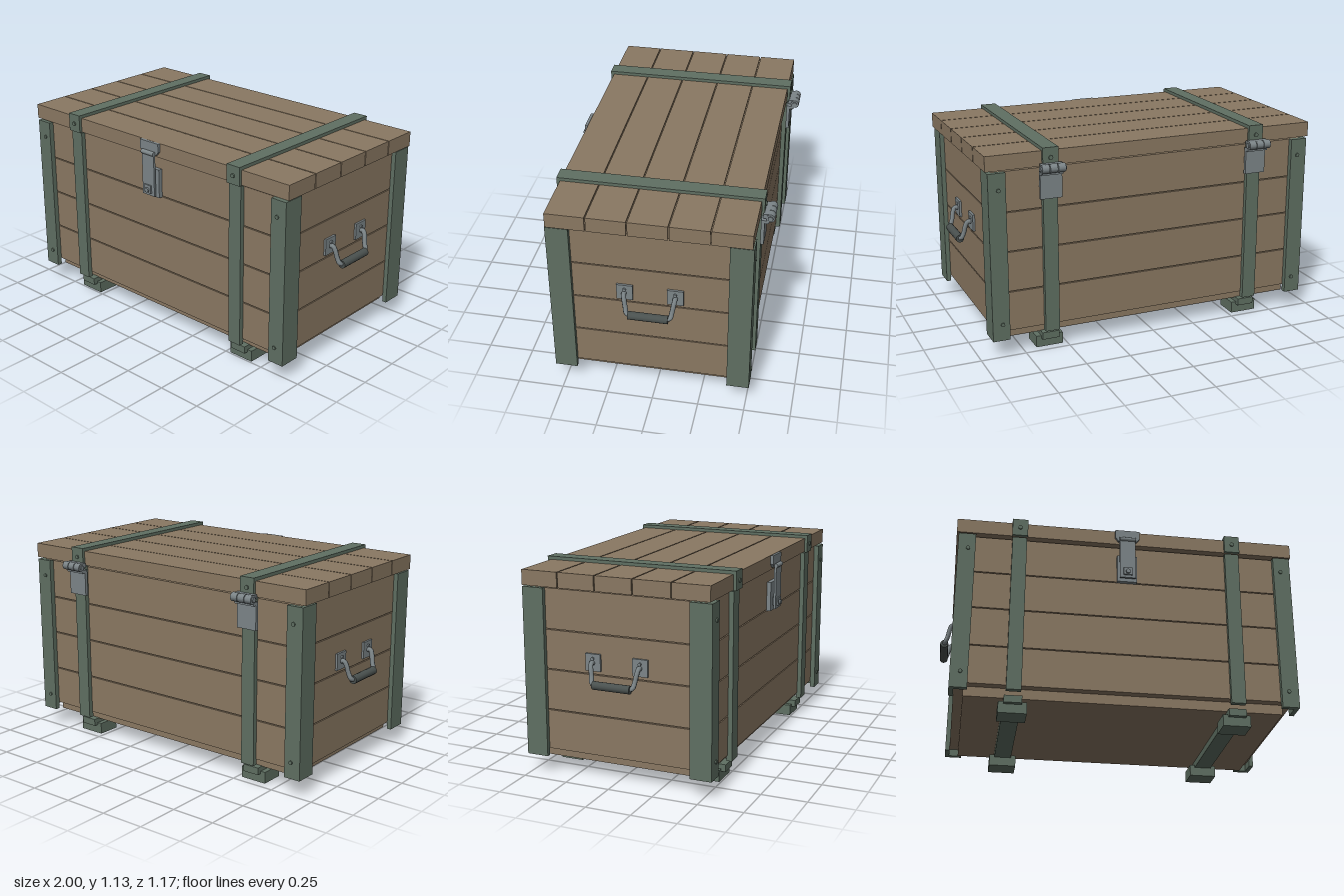
import * as THREE from 'three';

const mat = (name, color) => {
  const m = new THREE.MeshStandardMaterial({ color });
  m.name = name;
  return m;
};

export function createModel() {
  const wood = mat('brown wood', 0x8a7862);
  const green = mat('green painted steel', 0x5f6f62);
  const steel = mat('grey steel', 0x7c8588);
  const dark = mat('dark grip', 0x4a514f);

  const model = new THREE.Group();
  model.name = 'crate';
  // The crate body sits slightly forward because the hinges stick out behind
  const crate = new THREE.Group();
  crate.name = 'crateBody';
  crate.position.z = 0.018;
  model.add(crate);

  const add = (parent, name, geo, material, x = 0, y = 0, z = 0) => {
    const m = new THREE.Mesh(geo, material);
    m.name = name;
    m.position.set(x, y, z);
    parent.add(m);
    return m;
  };
  // Box given by its extents
  const box = (parent, name, material, x0, x1, y0, y1, z0, z1) =>
    add(parent, name, new THREE.BoxGeometry(x1 - x0, y1 - y0, z1 - z0), material,
      (x0 + x1) / 2, (y0 + y1) / 2, (z0 + z1) / 2);
  const rod = (parent, name, material, r, len, axis, x, y, z, sides = 12) => {
    const g = new THREE.CylinderGeometry(r, r, len, sides);
    if (axis === 'x') g.rotateZ(Math.PI / 2);
    if (axis === 'z') g.rotateX(Math.PI / 2);
    return add(parent, name, g, material, x, y, z);
  };

  // Core, base and stacked wall planks with thin gaps
  const WX = 0.91, WZ = 0.505, gap = 0.003;
  box(crate, 'core', wood, -WX + 0.008, WX - 0.008, 0.143, 1.01, -WZ + 0.008, WZ - 0.008);
  box(crate, 'base', wood, -0.86, 0.86, 0.087, 0.145, -0.458, 0.458);
  const rows = [0.139, 0.361, 0.584, 0.801, 1.023];
  for (let i = 0; i < 4; i++)
    box(crate, 'wallPlank', wood, -WX, WX, rows[i] + gap, rows[i + 1] - gap, -WZ, WZ);
  box(crate, 'lidLip', wood, -0.86, 0.86, 1.01, 1.035, -0.44, 0.44);

  // Lid planks
  box(crate, 'lidCore', wood, -0.937, 0.937, 1.04, 1.105, -0.522, 0.522);
  for (let i = 0; i < 5; i++) {
    const z = -0.53 + i * 0.212;
    box(crate, 'lidPlank', wood, -0.946, 0.946, 1.032, 1.114, z + gap, z + 0.212 - gap);
  }

  // L-shaped corner posts with bolts
  for (const sx of [-1, 1]) for (const sz of [-1, 1]) {
    const post = new THREE.Group();
    post.name = 'cornerPost';
    crate.add(post);
    const pts = [[0.935, 0.533], [0.84, 0.533], [0.84, 0.505], [0.91, 0.505], [0.91, 0.412], [0.935, 0.412]];
    const shape = new THREE.Shape(pts.map(([x, z]) => new THREE.Vector2(sx * x, -sz * z)));
    const g = new THREE.ExtrudeGeometry(shape, { depth: 0.92, bevelEnabled: false });
    g.rotateX(-Math.PI / 2);
    add(post, 'cornerAngle', g, green, 0, 0.102, 0);
    for (const y of [0.193, 0.93])
      rod(post, 'postBolt', green, 0.011, 0.012, 'z', sx * 0.88, y, sz * 0.534, 8);
  }

  // Straps, skids and hinges
  for (const x of [-0.6, 0.6]) {
    const strap = new THREE.Group();
    strap.name = 'strap';
    strap.position.x = x;
    crate.add(strap);
    box(strap, 'lidStrap', green, -0.043, 0.043, 1.112, 1.132, -0.545, 0.545);
    for (const s of [-1, 1]) {
      const band = box(strap, 'wallStrap', green, -0.04, 0.04, 0.11, 1.025, -0.015, 0.015);
      band.position.z = s * 0.515;
      const flange = box(strap, 'lidStrapEnd', green, -0.043, 0.043, 1.03, 1.132, -0.008, 0.008);
      flange.position.z = s * 0.537;
      rod(strap, 'strapBolt', green, 0.012, 0.012, 'z', 0, 1.078, s * 0.546, 8);
      const foot = box(strap, 'foot', green, -0.076, 0.076, 0, 0.064, -0.065, 0.065);
      foot.position.z = s * 0.408;
    }
    box(strap, 'skidRail', green, -0.048, 0.048, 0.05, 0.09, -0.498, 0.498);

    const hinge = new THREE.Group();
    hinge.name = 'hinge';
    strap.add(hinge);
    box(hinge, 'hingeLowerLeaf', steel, -0.06, 0.06, 0.86, 1.01, -0.548, -0.53);
    box(hinge, 'hingeLowerFold', steel, -0.06, 0.06, 0.992, 1.01, -0.57, -0.53);
    box(hinge, 'hingeUpperLeaf', steel, -0.06, 0.06, 1.025, 1.05, -0.575, -0.54);
    for (const k of [-1, 0, 1])
      rod(hinge, 'hingeKnuckle', steel, 0.024, 0.04, 'x', k * 0.044, 1.029, -0.578, 10);
    rod(hinge, 'hingePin', steel, 0.014, 0.142, 'x', 0, 1.029, -0.578, 8);
  }

  // Front latch
  const latch = new THREE.Group();
  latch.name = 'latch';
  crate.add(latch);
  const tab = new THREE.Shape([[-0.068, 1.114], [-0.068, 1.066], [-0.05, 1.045], [0.05, 1.045],
    [0.068, 1.066], [0.068, 1.114]].map(p => new THREE.Vector2(...p)));
  add(latch, 'latchLidPlate', new THREE.ExtrudeGeometry(tab, { depth: 0.016, bevelEnabled: false }), steel, 0, 0, 0.528);
  rod(latch, 'latchPivot', steel, 0.013, 0.09, 'x', 0, 1.053, 0.55);
  box(latch, 'latchWallPlate', steel, -0.055, 0.055, 0.797, 0.96, 0.503, 0.528);
  box(latch, 'hasp', steel, -0.044, 0.044, 0.81, 1.05, 0.542, 0.554);
  box(latch, 'staple', steel, -0.024, 0.024, 0.825, 0.87, 0.525, 0.562);
  rod(latch, 'latchKnob', steel, 0.013, 0.02, 'z', 0, 0.843, 0.562, 10);

  // Side handles
  for (const s of [-1, 1]) {
    const handle = new THREE.Group();
    handle.name = 'handle';
    crate.add(handle);
    for (const k of [-1, 1]) {
      const z = k * 0.134;
      const plate = box(handle, 'handlePlate', steel, -0.007, 0.007, 0.605, 0.697, -0.043, 0.043);
      plate.position.x = s * 0.915;
      plate.position.z = z;
      rod(handle, 'handleRivet', steel, 0.009, 0.012, 'x', s * 0.925, 0.672, z, 8);
      const path = new THREE.CatmullRomCurve3([[0.917, 0.648, 0.134], [0.938, 0.652, 0.135], [0.95, 0.63, 0.131],
        [0.96, 0.585, 0.123], [0.972, 0.555, 0.115], [0.976, 0.549, 0.095]]
        .map(([px, py, pz]) => new THREE.Vector3(s * px, py, k * pz)));
      add(handle, 'handleArm', new THREE.TubeGeometry(path, 16, 0.013, 8), steel);
    }
    rod(handle, 'handleGrip', dark, 0.0225, 0.212, 'x', s * 0.977, 0.548, 0, 12).rotation.y = Math.PI / 2;
  }

  return model;
}
